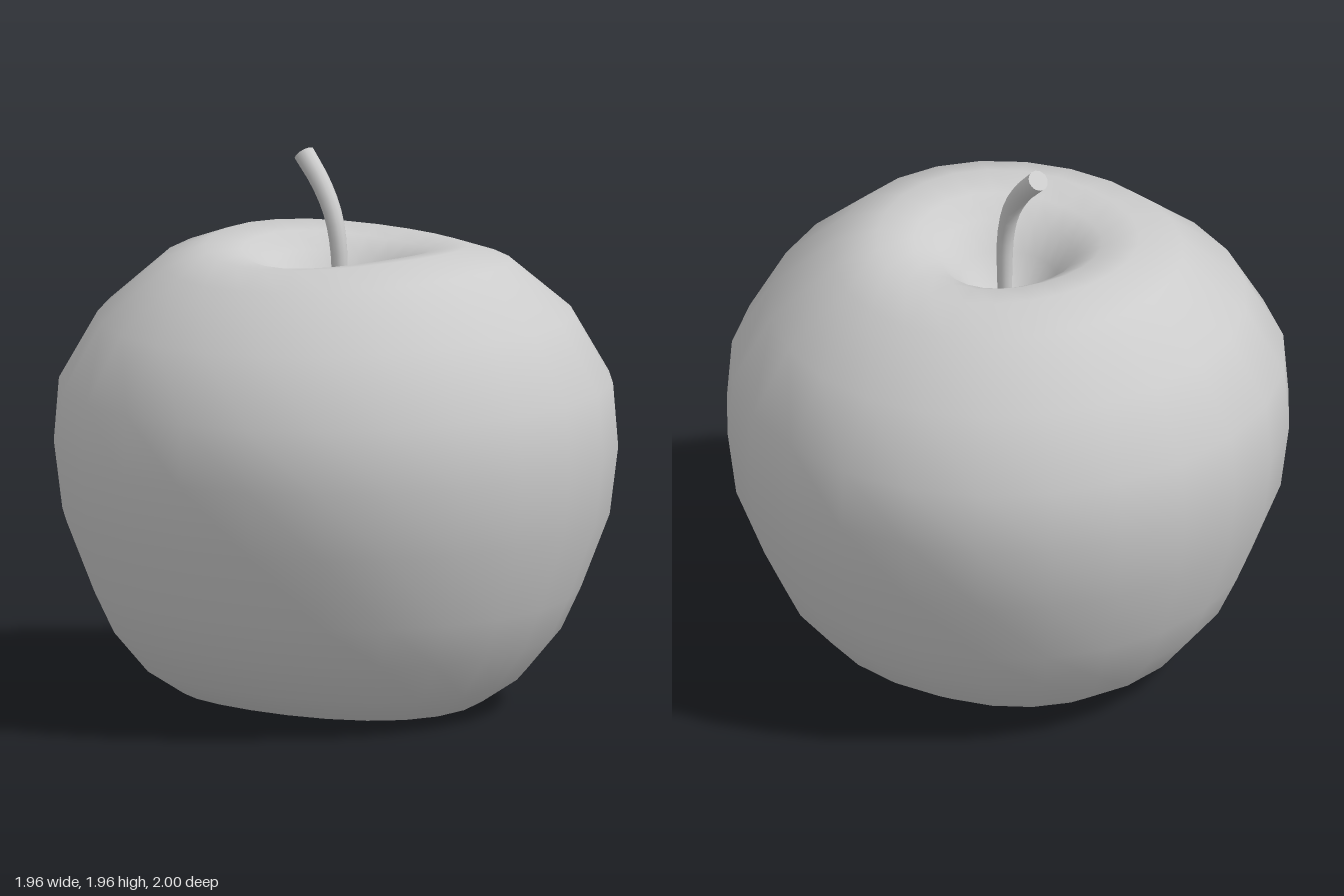
import * as THREE from 'three';
import { mergeVertices } from 'three/addons/utils/BufferGeometryUtils.js';

const grey = new THREE.MeshStandardMaterial({ color: 0xcccccc });

// Lathed fruit, stretched a little in height towards its sides
function makeBody() {
  const profile = [
    [0, 0.15], [0.1, 0.13], [0.21, 0.07], [0.37, 0.025], [0.54, 0.05], [0.67, 0.135],
    [0.79, 0.28], [0.86, 0.43], [0.96, 0.69], [0.99, 0.93], [0.972, 1.155], [0.835, 1.395],
    [0.615, 1.583], [0.46, 1.637], [0.33, 1.62], [0.24, 1.57], [0.17, 1.48], [0.1, 1.38], [0, 1.34],
  ].map(([r, y]) => new THREE.Vector2(r, y));

  let geometry = new THREE.LatheGeometry(profile, 24);
  const pos = geometry.attributes.position;
  for (let i = 0; i < pos.count; i++) {
    const x = pos.getX(i), y = pos.getY(i), z = pos.getZ(i);
    const r = Math.hypot(x, z);
    const lobe = r > 1e-6 ? (x * x - z * z) / (r * r) : 0; // +1 at the sides, -1 front and back
    const fade = Math.min(1, r / 0.35);
    const widen = 1 - 0.008 * lobe;
    pos.setXYZ(i, x * widen, 0.85 + (y - 0.85) * (1 + 0.022 * lobe * fade), z * widen);
  }
  // Weld the seam so the skin shades smoothly all round
  geometry.deleteAttribute('uv');
  geometry.deleteAttribute('normal');
  geometry = mergeVertices(geometry, 1e-4);
  geometry.computeVertexNormals();

  const mesh = new THREE.Mesh(geometry, grey);
  mesh.name = 'fruitBody';
  return mesh;
}

// Bent stalk that thickens towards its cut end
function makeStem() {
  const group = new THREE.Group();
  group.name = 'stem';
  const curve = new THREE.CatmullRomCurve3([
    [0.02, 1.32], [0.025, 1.5], [0.018, 1.64], [-0.012, 1.75], [-0.075, 1.85], [-0.162, 1.94],
  ].map(([x, y]) => new THREE.Vector3(x, y, 0.005)));

  const steps = 14, sides = 12, tipRadius = 0.038;
  const geometry = new THREE.TubeGeometry(curve, steps, 1, sides);
  const pos = geometry.attributes.position;
  const p = new THREE.Vector3();
  for (let i = 0; i < pos.count; i++) {
    const t = Math.floor(i / (sides + 1)) / steps;
    const centre = curve.getPointAt(t);
    p.fromBufferAttribute(pos, i).sub(centre);
    p.multiplyScalar(THREE.MathUtils.lerp(0.024, tipRadius, t)).add(centre);
    pos.setXYZ(i, p.x, p.y, p.z);
  }
  const stalk = new THREE.Mesh(geometry, grey);
  stalk.name = 'stalk';

  // Flat cut end
  const cap = new THREE.Mesh(new THREE.CircleGeometry(tipRadius, sides), grey);
  cap.name = 'stalkEnd';
  cap.position.copy(curve.getPointAt(1));
  cap.quaternion.setFromUnitVectors(new THREE.Vector3(0, 0, 1), curve.getTangentAt(1));

  group.add(stalk, cap);
  return group;
}

export function createModel() {
  const model = new THREE.Group();
  model.name = 'apple';
  model.add(makeBody(), makeStem());
  return model;
}
